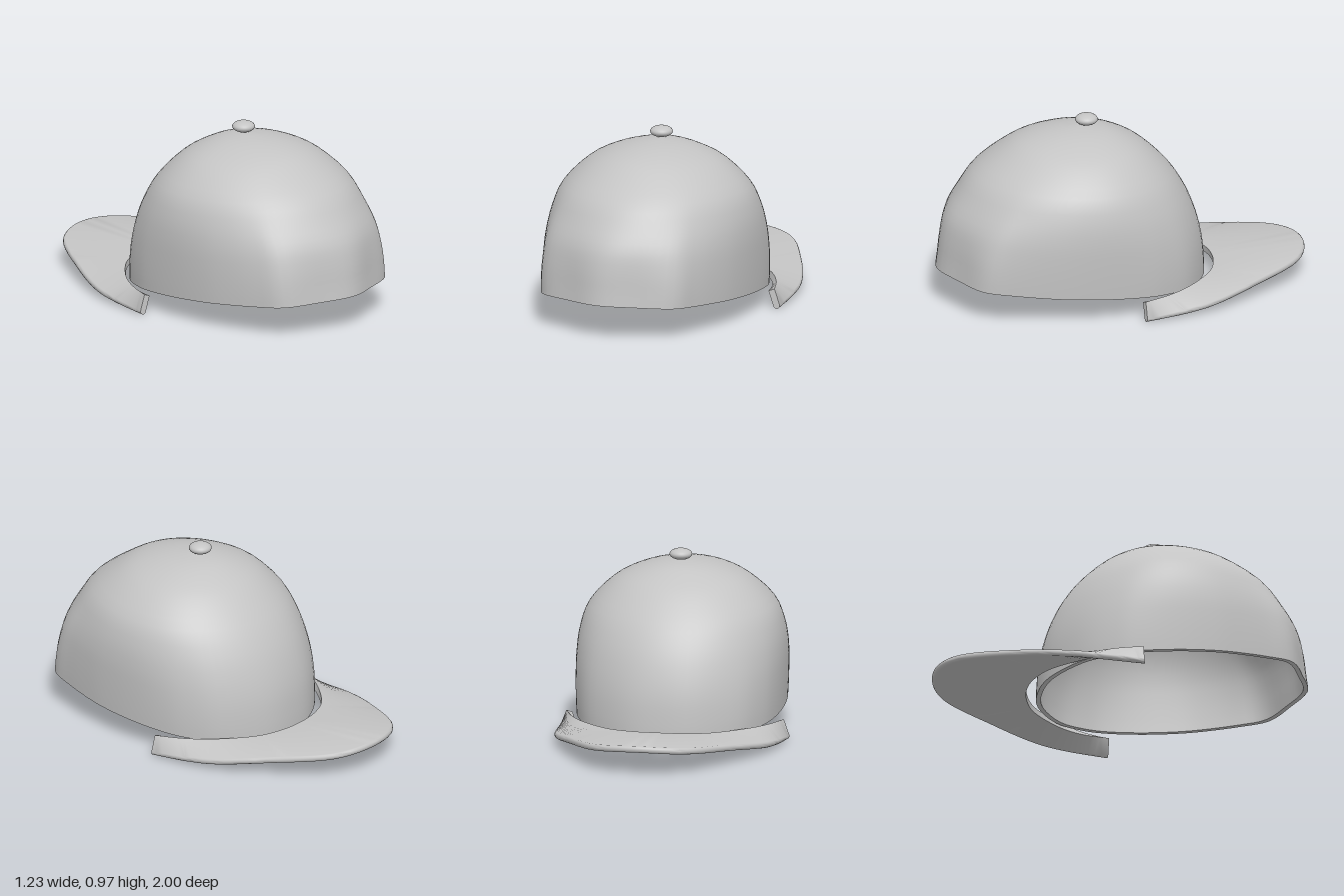
import * as THREE from 'three';
import { toCreasedNormals } from 'three/addons/utils/BufferGeometryUtils.js';

const V = (x, y, z) => new THREE.Vector3(x, y, z);
const spline = (pts, closed = false) => new THREE.CatmullRomCurve3(pts, closed, 'catmullrom', 0.5);

// Skin a list of closed rings (arrays of Vector3), optionally capping both ends.
function loft(rings, capped, crease) {
  const n = rings[0].length, pos = [], index = [];
  rings.forEach(r => r.forEach(p => pos.push(p.x, p.y, p.z)));
  for (let i = 0; i < rings.length - 1; i++) {
    for (let j = 0; j < n; j++) {
      const k = (j + 1) % n, a = i * n + j, b = i * n + k;
      index.push(a, a + n, b, b, a + n, b + n);
    }
  }
  if (capped) {
    const e = (rings.length - 1) * n;
    for (let j = 1; j < n - 1; j++) index.push(0, j, j + 1, e, e + j + 1, e + j);
  }
  const g = new THREE.BufferGeometry();
  g.setAttribute('position', new THREE.Float32BufferAttribute(pos, 3));
  g.setIndex(index);
  return toCreasedNormals(g, crease);
}

// Crown: a plan outline scaled by front, side and back profiles, with an inner lining.
function crownGeometry() {
  const cz = 0.22, top = 0.905;
  // Unit plan outline of one side, from the side to the front and to the back
  const front = [[0.98, 0.22], [0.93, 0.4], [0.82, 0.64], [0.69, 0.82], [0.36, 0.925]];
  const back = [[0.36, -0.95], [0.73, -0.75], [0.91, -0.5], [0.98, -0.27]];
  const mirror = list => [...list].reverse().map(([x, z]) => [-x, z]);
  const plan = [[1, 0], ...front, [0, 1], ...mirror(front), [-1, 0], ...mirror(back), [0, -1], ...back];
  const outline = spline(plan.map(([x, z]) => V(x, 0, z)), true).getPoints(88).slice(0, 88);

  // Height fraction, front z, half width, back z
  const rows = [
    [0, 1.0, 0.54, -0.44], [0.1, 0.99, 0.545, -0.437], [0.25, 0.975, 0.55, -0.425],
    [0.4, 0.945, 0.55, -0.395], [0.55, 0.875, 0.535, -0.345], [0.7, 0.79, 0.49, -0.265],
    [0.85, 0.64, 0.375, -0.14], [0.93, 0.53, 0.26, -0.03], [0.98, 0.38, 0.13, 0.08], [1, cz, 0, cz],
  ];
  const heights = spline(rows.map(r => V(r[0], 0, 0)));
  const reach = spline(rows.map(r => V(r[1] - cz, r[2], cz - r[3])));

  const ring = (t, inset) => {
    const s = heights.getPoint(t).x, r = reach.getPoint(t);
    const shrink = v => Math.max(0, v - inset);
    const round = THREE.MathUtils.smoothstep(s, 0.05, 0.75);
    return outline.map(o => {
      const u = o.clone().lerp(o.clone().normalize(), round);
      const rim = 0.1 + 0.08 * (cz + o.z * (o.z > 0 ? 0.78 : 0.66));
      return V(u.x * shrink(r.y), rim + (top - rim) * s - inset * s,
        cz + u.z * shrink(u.z > 0 ? r.x : r.z));
    });
  };
  const rings = [], steps = 27;
  for (let i = steps; i >= 0; i--) rings.push(ring(i / steps, 0.025));
  for (let i = 0; i <= steps; i++) rings.push(ring(i / steps, 0));
  return loft(rings, false, 0.9);
}

// Visor: a rounded slab swept between an inner and an outer edge curve.
function visorGeometry() {
  const inner = [[0.568, 0.095, 0.03], [0.515, 0.09, -0.12], [0.43, 0.09, -0.26],
    [0.28, 0.093, -0.41], [0.14, 0.097, -0.475]];
  const outer = [[0.598, 0.01, 0.03], [0.585, 0.025, -0.18], [0.55, 0.045, -0.36],
    [0.44, 0.08, -0.6], [0.25, 0.115, -0.895]];
  const edge = (half, mid) => spline([
    ...half.map(([x, y, z]) => V(-x, y, z)), V(...mid),
    ...[...half].reverse().map(p => V(...p)),
  ]);
  const I = edge(inner, [0, 0.1, -0.495]), O = edge(outer, [0, 0.133, -0.985]);
  const h = 0.017, rings = [], steps = 60;
  for (let i = 0; i <= steps; i++) {
    const t = i / steps, a = I.getPoint(t), b = O.getPoint(t);
    const dir = b.clone().sub(a).normalize();
    const along = I.getTangent(t).add(O.getTangent(t));
    const up = along.cross(dir).normalize();
    const at = (p, d, u) => p.clone().addScaledVector(dir, d).addScaledVector(up, u);
    const section = [at(a, 0, h)];
    for (let k = 0; k <= 6; k++) {
      const q = Math.PI * k / 6;
      section.push(at(b, Math.sin(q) * 0.015, Math.cos(q) * h));
    }
    section.push(at(a, 0, -h));
    rings.push(section);
  }
  return loft(rings, true, 0.9);
}

export function createModel() {
  const cloth = new THREE.MeshStandardMaterial({ color: 0xc4c4c4 });
  cloth.name = 'greyCloth';
  const group = new THREE.Group();
  group.name = 'cap';
  const add = (name, geometry) => {
    const mesh = new THREE.Mesh(geometry, cloth);
    mesh.name = name;
    group.add(mesh);
    return mesh;
  };

  add('crown', crownGeometry());
  add('visor', visorGeometry());

  // Flattened button on top
  const button = add('topButton', new THREE.SphereGeometry(0.06, 32, 16));
  button.scale.y = 0.5;
  button.position.set(0, 0.934, 0.18);

  return group;
}
